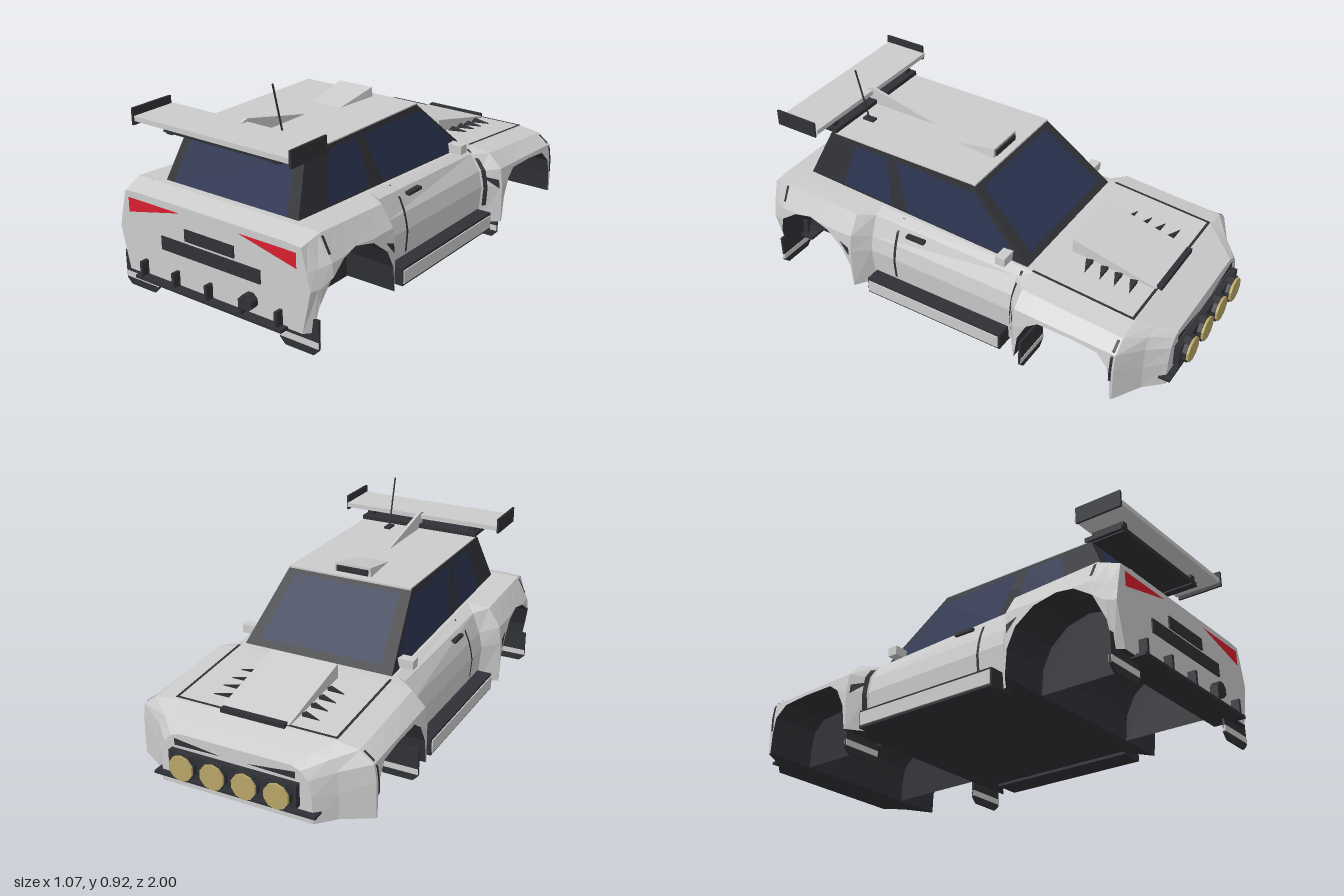
import * as THREE from 'three';

const mat = (color) => new THREE.MeshStandardMaterial({ color, flatShading: true, side: THREE.DoubleSide });
const LIGHT = mat(0xcccccc), DARK = mat(0x303136), GLASS = mat(0x2b3350), RED = mat(0xd81f2e), LAMP = mat(0xb8a668);

const lerpTable = (t, z) => {
  if (z <= t[0][0]) return t[0][1];
  for (let i = 1; i < t.length; i++) {
    if (z <= t[i][0]) return t[i - 1][1] + (t[i][1] - t[i - 1][1]) * (z - t[i - 1][0]) / (t[i][0] - t[i - 1][0]);
  }
  return t[t.length - 1][1];
};

// Wheel arch outlines as [z, y]
const FRONT_ARCH = [[-0.79, 0.09], [-0.785, 0.18], [-0.77, 0.25], [-0.72, 0.3], [-0.6, 0.312], [-0.45, 0.315], [-0.4, 0.28], [-0.36, 0.2], [-0.345, 0.09]];
const REAR_ARCH = [[0.49, 0.09], [0.5, 0.2], [0.54, 0.28], [0.62, 0.345], [0.72, 0.37], [0.8, 0.355], [0.88, 0.3], [0.92, 0.2], [0.93, 0.09]];
const archY = (z) => Math.max(lerpTable(FRONT_ARCH, z), lerpTable(REAR_ARCH, z));

// Half cross-sections from hood edge down to sill: z, then [x, y] points
const SECTIONS = [
  [-0.945, [0.25, 0.32], [0.29, 0.305], [0.32, 0.27], [0.335, 0.2], [0.34, 0.09]],
  [-0.87, [0.31, 0.352], [0.37, 0.335], [0.4, 0.29], [0.41, 0.2], [0.41, 0.09]],
  [-0.8, [0.36, 0.38], [0.46, 0.365], [0.52, 0.32], [0.53, 0.25], [0.53, 0.09]],
  [-0.34, [0.36, 0.418], [0.46, 0.4], [0.52, 0.34], [0.53, 0.26], [0.53, 0.09]],
  [-0.28, [0.36, 0.42], [0.4, 0.4], [0.445, 0.33], [0.46, 0.26], [0.445, 0.09]],
  [0.43, [0.36, 0.449], [0.41, 0.43], [0.445, 0.34], [0.46, 0.27], [0.445, 0.09]],
  [0.49, [0.36, 0.451], [0.465, 0.445], [0.52, 0.36], [0.53, 0.28], [0.53, 0.09]],
  [0.87, [0.38, 0.467], [0.465, 0.465], [0.52, 0.36], [0.53, 0.28], [0.53, 0.09]],
  [0.96, [0.38, 0.44], [0.45, 0.435], [0.475, 0.34], [0.49, 0.27], [0.45, 0.09]],
];

function rawSection(z) {
  return [1, 2, 3, 4, 5].map((k) => [0, 1].map((c) => lerpTable(SECTIONS.map((s) => [s[0], s[k][c]]), z)));
}
const sideX = (z, y) => lerpTable(rawSection(z).reverse().map(([x, h]) => [h, x]), y);
const topY = (z) => rawSection(z)[0][1];

// Section trimmed to sit above the wheel arch
function section(z) {
  const a = archY(z);
  return rawSection(z).map(([x, y]) => (y >= a ? [x, y] : [sideX(z, a), a]));
}

function meshFrom(tris, material) {
  const g = new THREE.BufferGeometry();
  g.setAttribute('position', new THREE.Float32BufferAttribute(tris.flat(), 3));
  g.computeVertexNormals();
  return new THREE.Mesh(g, material);
}
const fan = (p) => p.slice(2).flatMap((_, i) => [p[0], p[i + 1], p[i + 2]]);
const quad = (a, b, c, d) => [a, b, c, a, c, d];

export function createModel() {
  const car = new THREE.Group();
  const add = (name, mesh) => { mesh.name = name; car.add(mesh); return mesh; };
  const poly = (name, pts, m) => add(name, meshFrom(fan(pts), m));
  // Box given by its extents
  const box = (name, x0, x1, y0, y1, z0, z1, m) => {
    const b = add(name, new THREE.Mesh(new THREE.BoxGeometry(Math.abs(x1 - x0), y1 - y0, z1 - z0), m));
    b.position.set((x0 + x1) / 2, (y0 + y1) / 2, (z0 + z1) / 2);
    return b;
  };
  // Solid between two matching rings of points
  const solid = (name, a, b, m) => add(name, meshFrom([
    ...fan([...a].reverse()), ...fan(b),
    ...a.flatMap((p, i) => { const j = (i + 1) % a.length; return quad(p, a[j], b[j], b[i]); }),
  ], m));

  // Body shell and dark underside, lofted along z
  const stations = [...new Set([...SECTIONS, ...FRONT_ARCH, ...REAR_ARCH].map((s) => s[0]))].sort((a, b) => a - b);
  const rings = stations.map((z) => {
    const h = section(z);
    return [...h.map(([x, y]) => [-x, y, z]).reverse(), ...h.map(([x, y]) => [x, y, z])];
  });
  const shell = [], under = [];
  for (let i = 0; i + 1 < rings.length; i++) {
    const a = rings[i], b = rings[i + 1], n = a.length - 1;
    for (let j = 0; j < n; j++) shell.push(...quad(a[j], b[j], b[j + 1], a[j + 1]));
    under.push(...quad(a[n], b[n], b[0], a[0]));
  }
  shell.push(...fan(rings[0]), ...fan([...rings[rings.length - 1]].reverse()));
  add('bodyShell', meshFrom(shell, LIGHT));
  add('underside', meshFrom(under, DARK));

  // Cabin
  const cabinX = (y) => 0.345 - 0.05 * (y - 0.44) / 0.245;
  const cabinSide = [[-0.31, 0.41], [0.0, 0.683], [0.74, 0.683], [0.84, 0.46]];
  const ring = (s, pts, off = 0) => pts.map(([z, y]) => [s * (cabinX(y) + off), y, z]);
  solid('cabin', ring(-1, cabinSide), ring(1, cabinSide), DARK);
  box('roof', -0.293, 0.293, 0.68, 0.688, -0.01, 0.72, LIGHT);
  poly('windscreen', [[-0.29, 0.448, -0.277], [0.29, 0.448, -0.277], [0.25, 0.667, -0.028], [-0.25, 0.667, -0.028]], GLASS);
  poly('rearWindow', [[-0.29, 0.47, 0.845], [0.29, 0.47, 0.845], [0.255, 0.662, 0.757], [-0.255, 0.662, 0.757]], GLASS);

  for (const s of [-1, 1]) {
    poly('frontSideWindow', ring(s, [[0.31, 0.452], [-0.23, 0.43], [-0.2, 0.48], [-0.02, 0.655], [0.385, 0.665]], 0.003), GLASS);
    poly('rearSideWindow', ring(s, [[0.655, 0.468], [0.4, 0.458], [0.43, 0.665], [0.6, 0.665]], 0.003), GLASS);
    box('mirror', s * 0.335, s * 0.41, 0.428, 0.467, -0.225, -0.18, LIGHT);

    // Panel gaps follow the body side
    for (const [z, lo, hi] of [[0.305, 0.17, 0.44], [-0.29, 0.17, 0.415], [0.868, 0.39, 0.466], [-0.787, 0.19, 0.36]]) {
      const ys = [0, 1, 2, 3, 4, 5, 6].map((k) => lo + (hi - lo) * k / 6);
      const p = (y, dz) => [s * (sideX(z + dz, y) + 0.004), y, z + dz];
      add('panelGap', meshFrom(ys.slice(1).flatMap((y, i) => quad(p(ys[i], -0.006), p(ys[i], 0.006), p(y, 0.006), p(y, -0.006))), DARK));
    }
    box('doorHandle', s * 0.41, s * 0.437, 0.392, 0.405, 0.165, 0.255, DARK);

    // Sill
    box('sillCore', s * 0.4, s * 0.518, 0.078, 0.155, -0.268, 0.418, DARK);
    box('sillPanel', s * 0.46, s * 0.523, 0.088, 0.145, -0.26, 0.412, LIGHT);

    // Wheel wells, fender vents and mud flaps
    for (const arch of [FRONT_ARCH, REAR_ARCH]) poly('wheelWellWall', arch.map(([z, y]) => [s * 0.3, y, z]), DARK);
    for (const [z, y] of [[0.49, 0.32], [-0.34, 0.31]]) {
      const at = (dz, dy) => [s * (sideX(z + dz, y + dy) + 0.005), y + dy, z + dz];
      poly('fenderVent', [at(0.06, 0), at(0.01, -0.06), at(0.01, -0.02)], DARK);
    }
    for (const z of [0.93, -0.357]) {
      const flap = new THREE.Shape([[0.345, 0], [0.48, 0], [0.505, 0.025], [0.505, 0.15], [0.32, 0.15], [0.32, 0.025]].map(([x, y]) => new THREE.Vector2(s * x, y)));
      add('mudFlap', new THREE.Mesh(new THREE.ExtrudeGeometry(flap, { depth: 0.01, bevelEnabled: false }), DARK)).position.z = z - 0.005;
      box('mudFlapStripe', s * 0.32, s * 0.505, 0.032, 0.058, z - 0.007, z + 0.007, LIGHT);
    }

    // Hood gaps and louvres
    const hood = (x, z) => [s * x, topY(z) + 0.004, z];
    poly('hoodGap', [hood(0.354, -0.79), hood(0.366, -0.79), hood(0.366, -0.33), hood(0.354, -0.33)], DARK);
    poly('hoodFrontGap', [hood(0, -0.796), hood(0.366, -0.796), hood(0.366, -0.784), hood(0, -0.784)], DARK);
    for (const z of [-0.71, -0.64, -0.575, -0.505]) {
      const up = ([x, y, w]) => [x, y + 0.012, w];
      solid('hoodLouvre', [hood(0.165, z), hood(0.24, z), hood(0.165, z + 0.035)].map(([x, y, w]) => [x, y - 0.01, w]),
        [up(hood(0.165, z)), hood(0.24, z), hood(0.165, z + 0.035)], DARK);
    }

    // Tail lamps and slim headlamps
    poly('tailLamp', [[s * 0.43, 0.412, 0.964], [s * 0.15, 0.412, 0.964], [s * 0.43, 0.348, 0.964]], RED);
    poly('headlampSlit', [[s * 0.27, 0.3, -0.95], [s * 0.06, 0.275, -0.95], [s * 0.27, 0.27, -0.95]], DARK);

    // Wing supports
    box('wingStrut', s * 0.25, s * 0.28, 0.685, 0.732, 0.735, 0.88, DARK);
    box('wingEndPlate', s * 0.39, s * 0.4, 0.715, 0.785, 0.74, 0.945, DARK);
  }

  // Hood scoop and roof scoop, each a wedge
  const wedge = (name, profile, m) => solid(name, profile.map(([z, y, x]) => [-x, y, z]), profile.map(([z, y, x]) => [x, y, z]), m);
  wedge('hoodScoop', [[-0.79, 0.375, 0.155], [-0.79, 0.388, 0.155], [-0.4, 0.475, 0.155], [-0.4, 0.4, 0.155]], LIGHT);
  box('hoodScoopMouth', -0.145, 0.145, 0.375, 0.396, -0.81, -0.786, DARK);
  wedge('roofScoop', [[0.03, 0.68, 0.09], [0.03, 0.728, 0.085], [0.235, 0.688, 0.073], [0.235, 0.68, 0.073]], LIGHT);
  box('roofScoopMouth', -0.075, 0.075, 0.692, 0.718, 0.022, 0.032, DARK);
  wedge('roofFin', [[0.37, 0.685, 0.007], [0.73, 0.765, 0.007], [0.76, 0.755, 0.007], [0.74, 0.68, 0.007]], LIGHT);

  // Rear wing
  box('wingMount', -0.295, 0.295, 0.69, 0.709, 0.71, 0.88, DARK);
  box('wing', -0.392, 0.392, 0.731, 0.752, 0.73, 0.94, LIGHT);

  // Antenna
  box('antennaBase', 0.112, 0.142, 0.685, 0.697, 0.63, 0.685, DARK);
  const mast = new THREE.LineCurve3(new THREE.Vector3(0.127, 0.69, 0.66), new THREE.Vector3(0.127, 0.92, 0.717));
  add('antenna', new THREE.Mesh(new THREE.TubeGeometry(mast, 1, 0.004, 6), DARK));

  // Rear panel and diffuser
  box('plateRecess', -0.127, 0.127, 0.302, 0.352, 0.95, 0.966, DARK);
  box('rearVent', -0.255, 0.255, 0.233, 0.29, 0.95, 0.966, DARK);
  box('diffuser', -0.38, 0.38, 0.085, 0.098, 0.86, 1.0, DARK);
  for (const x of [-0.35, -0.175, 0, 0.175, 0.35]) box('diffuserFin', x - 0.007, x + 0.007, 0.09, 0.161, 0.9, 0.995, DARK);
  const pipe = add('exhaust', new THREE.Mesh(new THREE.CylinderGeometry(0.034, 0.034, 0.12, 8).rotateY(Math.PI / 8).rotateX(Math.PI / 2), DARK));
  pipe.position.set(0.205, 0.153, 0.935);

  // Nose: splitter, lamp panel and four lamps
  box('splitter', -0.362, 0.362, 0.128, 0.14, -0.97, -0.86, DARK);
  box('lampPanel', -0.285, 0.285, 0.155, 0.255, -0.972, -0.93, DARK);
  for (const x of [-0.213, -0.071, 0.071, 0.213]) {
    const rim = add('lampRim', new THREE.Mesh(new THREE.CylinderGeometry(0.06, 0.06, 0.03, 10).rotateX(Math.PI / 2), DARK));
    rim.position.set(x, 0.203, -0.975);
    const lamp = add('lamp', new THREE.Mesh(new THREE.CylinderGeometry(0.055, 0.055, 0.03, 10).rotateX(Math.PI / 2), LAMP));
    lamp.position.set(x, 0.203, -0.985);
  }
  return car;
}
